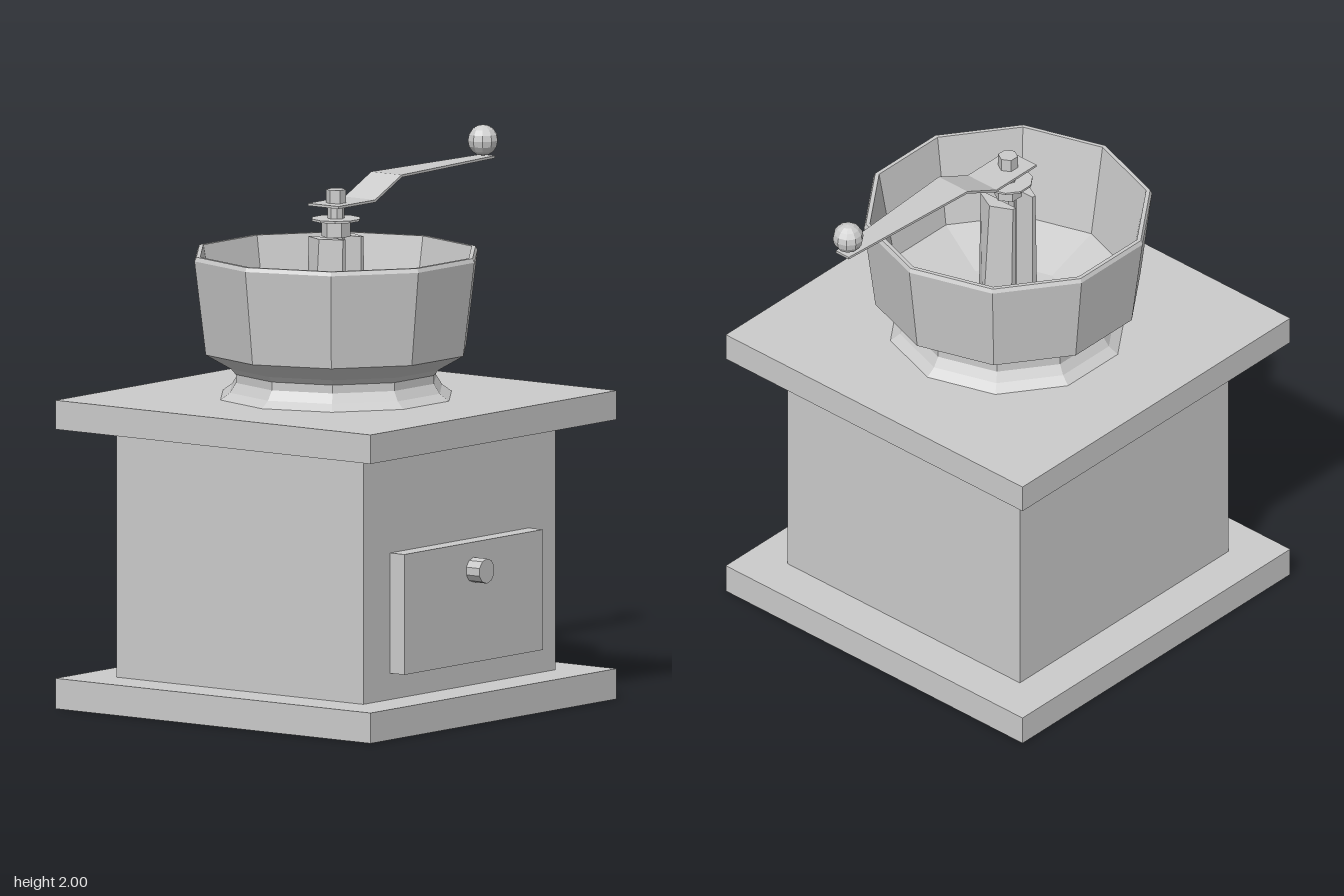
import * as THREE from 'three';

export function createModel() {
  const model = new THREE.Group();
  const mat = new THREE.MeshStandardMaterial({ color: 0xcccccc, flatShading: true });
  const thin = new THREE.MeshStandardMaterial({ color: 0xcccccc, flatShading: true, side: THREE.DoubleSide });
  const CX = -0.1; // axis of the mill

  const add = (name, geometry, x, y, z, material = mat) => {
    const mesh = new THREE.Mesh(geometry, material);
    mesh.name = name;
    mesh.position.set(x, y, z);
    model.add(mesh);
    return mesh;
  };
  const slab = (name, w, d, y0, y1, z = 0) =>
    add(name, new THREE.BoxGeometry(w, y1 - y0, d), CX, (y0 + y1) / 2, z);
  const rod = (name, r, y0, y1, sides) =>
    add(name, new THREE.CylinderGeometry(r, r, y1 - y0, sides).rotateY(Math.PI / 2), CX, (y0 + y1) / 2, 0);

  // Wooden box
  slab('basePlate', 1.43, 1.43, 0, 0.11);
  slab('body', 1.115, 1.12, 0.11, 1.01);
  slab('topPlate', 1.43, 1.43, 1.01, 1.115);
  slab('drawer', 0.805, 0.065, 0.205, 0.64, 0.5925);
  const knob = new THREE.CylinderGeometry(0.045, 0.045, 0.06, 10).rotateX(Math.PI / 2);
  add('drawerKnob', knob, CX, 0.54, 0.655);

  // Ten-sided hopper: up the outside, over the rim, down the inside
  const profile = [
    [0.43, 1.115], [0.395, 1.14], [0.373, 1.175], [0.373, 1.205], [0.39, 1.225],
    [0.485, 1.28], [0.527, 1.62], [0.52, 1.635], [0.505, 1.635],
    [0.445, 1.29], [0.235, 1.215], [0, 1.19],
  ].map(([r, y]) => new THREE.Vector2(r, y));
  add('hopper', new THREE.LatheGeometry(profile, 10, Math.PI / 2), CX, 0, 0, thin);

  // Pair of pointed legs that lean in towards the shaft
  const plan = new THREE.Shape(
    [[0, -0.078], [0.025, -0.078], [0.09, 0], [0.025, 0.078], [0, 0.078]].map(([x, y]) => new THREE.Vector2(x, y)));
  const legHeight = 0.49;
  for (const [name, turn] of [['leftLeg', 0], ['rightLeg', Math.PI]]) {
    const leg = new THREE.ExtrudeGeometry(plan, { depth: legHeight, bevelEnabled: false }).rotateX(-Math.PI / 2);
    const p = leg.attributes.position;
    for (let i = 0; i < p.count; i++) p.setX(i, 0.045 + p.getX(i) * (1 - 0.4 * p.getY(i) / legHeight));
    leg.rotateY(turn);
    leg.computeVertexNormals();
    add(name, leg, CX, 1.2, 0);
  }

  // Shaft, collar, washer and nut
  rod('shaft', 0.03, 1.2, 1.81, 8);
  rod('collar', 0.052, 1.69, 1.748, 6);
  rod('washer', 0.09, 1.748, 1.756, 10);
  rod('nut', 0.036, 1.8, 1.86, 6);

  // Cranked handle: side outline extruded, then narrowed towards the grip
  const outline = [
    [-0.175, 1.803], [0.04, 1.803], [0.195, 1.876], [0.785, 1.876],
    [0.785, 1.885], [0.193, 1.885], [0.038, 1.812], [-0.175, 1.812],
  ].map(([x, y]) => new THREE.Vector2(x, y));
  const crank = new THREE.ExtrudeGeometry(new THREE.Shape(outline), { depth: 2, bevelEnabled: false }).translate(0, 0, -1);
  const q = crank.attributes.position;
  for (let i = 0; i < q.count; i++) {
    const t = Math.max(0, (q.getX(i) - 0.19) / 0.595);
    q.setZ(i, q.getZ(i) * (0.069 - 0.038 * t));
  }
  crank.computeVertexNormals();
  add('crankHandle', crank, 0, 0, 0);
  add('gripBall', new THREE.SphereGeometry(0.056, 10, 8), 0.754, 1.942, 0);

  return model;
}
